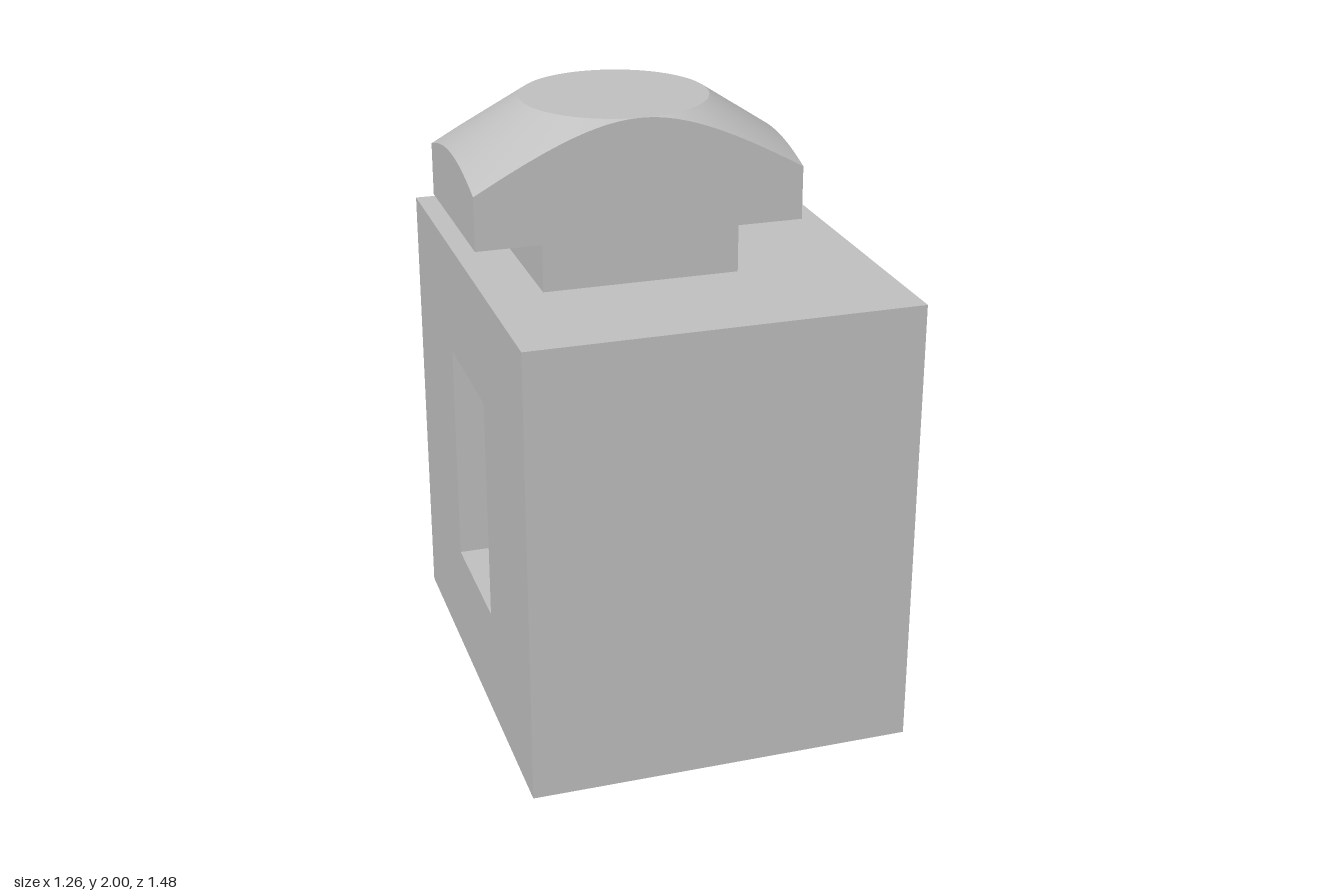
import * as THREE from 'three';
import { mergeGeometries } from 'three/addons/utils/BufferGeometryUtils.js';

const X = new THREE.Vector3(1, 0, 0), Y = new THREE.Vector3(0, 1, 0), Z = new THREE.Vector3(0, 0, 1);
// in-plane axes u, v and the normal of each kind of panel
const BASES = { x: [Y, Z, X], y: [Z, X, Y], z: [X, Y, Z] };

// Flat face at distance d on an axis, facing sign; r and hole are [u0, u1, v0, v1]
function panel(axis, sign, d, r, hole) {
  const corners = ([a, b, c, e]) => [[a, c], [b, c], [b, e], [a, e]].map(p => new THREE.Vector2(...p));
  const shape = new THREE.Shape(corners(r));
  if (hole) shape.holes.push(new THREE.Path(corners(hole).reverse()));
  const g = new THREE.ShapeGeometry(shape);
  if (sign < 0) g.index.array.reverse();
  g.translate(0, 0, d);
  g.applyMatrix4(new THREE.Matrix4().makeBasis(...BASES[axis]));
  g.computeVertexNormals();
  return g;
}

// Body extents, side window, underside slot
const B = { x0: -0.61, x1: 0.63, h: 1.485, z: 0.74 };
const W = { y0: 0.37, y1: 1.115, z: 0.225 };
const S = { x0: -0.3, x1: 0.06, z: 0.37 };
// Neck and cap
const N = { x0: -0.43, x1: 0.192, z: 0.295 };
const C = { x0: -0.635, x1: 0.4, y: 1.635, z: 0.295, top: 2, slope: 0.653 };

function bodyGeometry() {
  const side = [0, B.h, -B.z, B.z], win = [W.y0, W.y1, -W.z, W.z];
  const plan = [-B.z, B.z, B.x0, B.x1], front = [B.x0, B.x1, 0, B.h];
  return mergeGeometries([
    panel('x', 1, B.x1, side, win),
    panel('x', -1, B.x0, side, win),
    panel('z', 1, B.z, front),
    panel('z', -1, -B.z, front),
    panel('y', 1, B.h, plan, [-N.z, N.z, N.x0, N.x1]),
    panel('y', -1, 0, plan, [-S.z, S.z, S.x0, S.x1]),
  ]);
}

function windowGeometry() {
  const wall = [B.x0, B.x1, W.y0, W.y1];
  return mergeGeometries([
    panel('y', -1, W.y1, [-W.z, W.z, B.x0, B.x1]),
    panel('y', 1, W.y0, [-W.z, W.z, B.x0, S.x0]),
    panel('y', 1, W.y0, [-W.z, W.z, S.x1, B.x1]),
    panel('z', 1, -W.z, wall),
    panel('z', -1, W.z, wall),
  ]);
}

// Slot rising from the underside into the window
function slotGeometry() {
  const end = [S.x0, S.x1, 0, W.y0], side = [0, W.y0, -S.z, S.z];
  return mergeGeometries([
    panel('z', 1, -S.z, end),
    panel('z', -1, S.z, end),
    panel('x', 1, S.x0, side),
    panel('x', -1, S.x1, side),
    panel('y', -1, W.y0, [W.z, S.z, S.x0, S.x1]),
    panel('y', -1, W.y0, [-S.z, -W.z, S.x0, S.x1]),
  ]);
}

function neckGeometry() {
  const face = [N.x0, N.x1, B.h, C.y], side = [B.h, C.y, -N.z, N.z];
  return mergeGeometries([
    panel('z', 1, N.z, face), panel('z', -1, -N.z, face),
    panel('x', 1, N.x1, side), panel('x', -1, N.x0, side),
  ]);
}

// Cap: flat disc, conical chamfer and straight sides trimmed to a rectangle
function capGeometries() {
  const cx = (C.x0 + C.x1) / 2, hx = (C.x1 - C.x0) / 2, hz = C.z, r = C.z;
  const a = Math.atan2(hz, hx), steps = 24;
  const angles = [-a, a, Math.PI - a, Math.PI + a, 2 * Math.PI - a];
  const top = { p: [], n: [] }, sides = { p: [], n: [] };
  const tri = (out, pts, normals) => pts.forEach((q, i) => {
    out.p.push(...q);
    out.n.push(...normals[i]);
  });
  const up = [0, 1, 0], k = Math.hypot(1, C.slope);
  for (let s = 0; s < 4; s++) {
    const face = [[1, 0, 0], [0, 0, 1], [-1, 0, 0], [0, 0, -1]][s];
    const at = i => {
      const t = angles[s] + (angles[s + 1] - angles[s]) * i / steps;
      const c = Math.cos(t), n = Math.sin(t);
      const R = s % 2 ? hz / Math.abs(n) : hx / Math.abs(c);
      const x = cx + R * c, z = R * n;
      return {
        inner: [cx + r * c, C.top, r * n],
        rim: [x, C.top - Math.max(0, R - r) * C.slope, z],
        foot: [x, C.y, z],
        normal: [c * C.slope / k, 1 / k, n * C.slope / k],
      };
    };
    for (let i = 0; i < steps; i++) {
      const p = at(i), q = at(i + 1), P = p.normal, Q = q.normal;
      tri(top, [[cx, C.top, 0], q.inner, p.inner], [up, up, up]);
      tri(top, [p.inner, q.inner, q.rim], [P, Q, Q]);
      tri(top, [p.inner, q.rim, p.rim], [P, Q, P]);
      tri(sides, [p.rim, q.rim, q.foot], [face, face, face]);
      tri(sides, [p.rim, q.foot, p.foot], [face, face, face]);
    }
  }
  return [top, sides].map(({ p, n }) => {
    const g = new THREE.BufferGeometry();
    g.setAttribute('position', new THREE.Float32BufferAttribute(p, 3));
    g.setAttribute('normal', new THREE.Float32BufferAttribute(n, 3));
    return g;
  });
}

export function createModel() {
  const grey = new THREE.MeshStandardMaterial({ color: 0xc0c0c0 });
  grey.name = 'grey';
  const model = new THREE.Group();
  model.name = 'slottedBlock';
  const add = (name, geometry) => {
    const mesh = new THREE.Mesh(geometry, grey);
    mesh.name = name;
    model.add(mesh);
  };
  const [capTop, capSides] = capGeometries();
  add('body', bodyGeometry());
  add('sideWindow', windowGeometry());
  add('bottomSlot', slotGeometry());
  add('neck', neckGeometry());
  add('capTop', capTop);
  add('capSides', capSides);
  add('capUnderside', panel('y', -1, C.y, [-C.z, C.z, C.x0, N.x0]));
  add('capUnderside', panel('y', -1, C.y, [-C.z, C.z, N.x1, C.x1]));
  return model;
}
